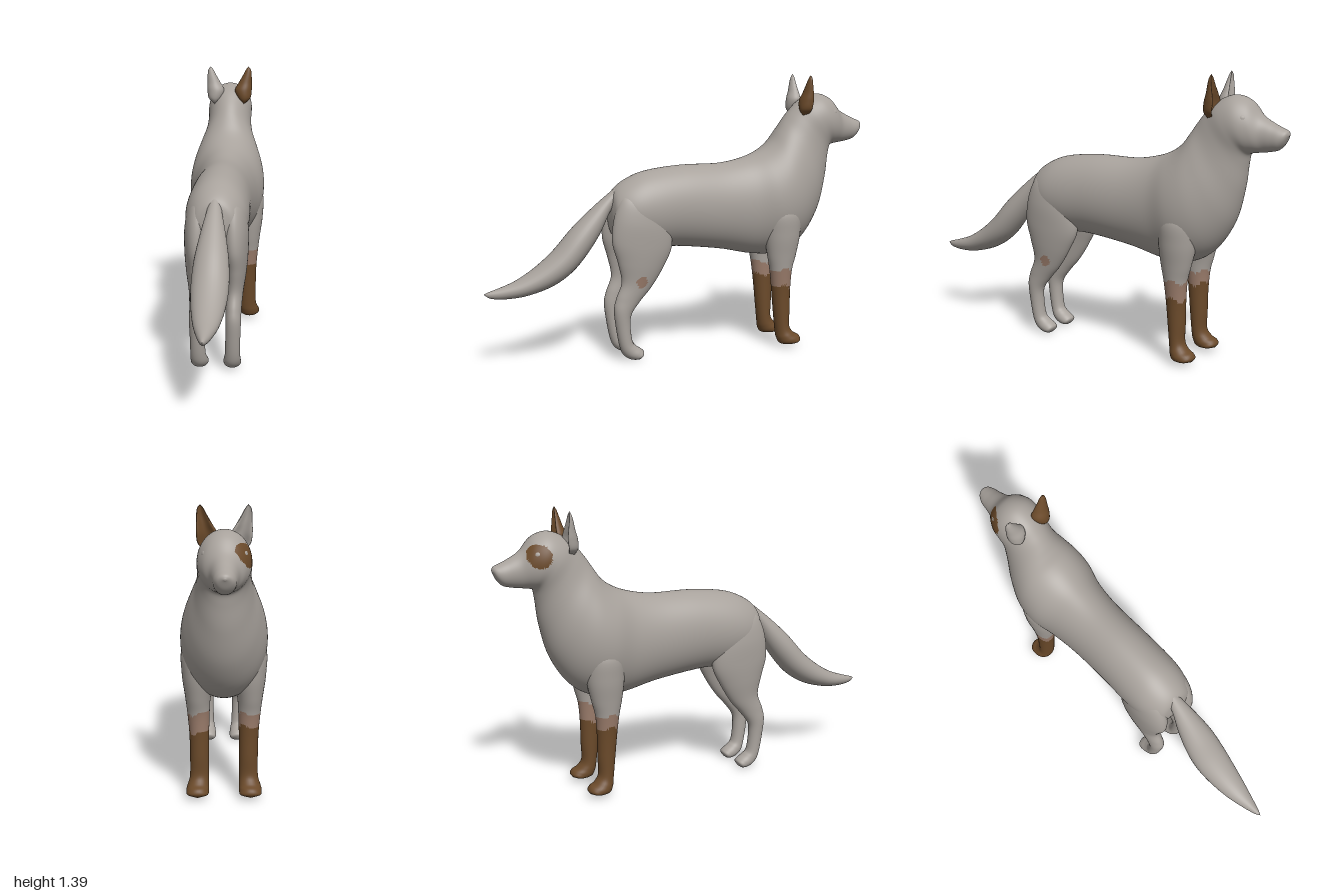
import * as THREE from 'three';

const mat = (name, color) => {
  const m = new THREE.MeshStandardMaterial({ color });
  m.name = name;
  return m;
};

// Smooth closed loft. Each row is one cross-section: [z1, y1, z2, y2, centreX, halfWidth],
// an ellipse spanned between two outline points in the side plane.
// paint(centroid) picks the material index of each face; dent hollows the first side.
function loft(name, rows, mats, { sx = 1, seg = 32, sub = 6, dent = 0, paint = () => 0 } = {}) {
  const curve = (f) => new THREE.CatmullRomCurve3(rows.map(f), false, 'catmullrom', 0.5);
  const first = curve((r) => new THREE.Vector3(0, r[1], r[0]));
  const second = curve((r) => new THREE.Vector3(0, r[3], r[2]));
  const width = curve((r) => new THREE.Vector3(r[4], r[5], 0));
  const n = (rows.length - 1) * sub;
  const pts = [];
  for (let i = 0; i <= n; i++) {
    const a = first.getPoint(i / n), b = second.getPoint(i / n), w = width.getPoint(i / n);
    const mid = a.clone().add(b).multiplyScalar(0.5);
    const half = a.clone().sub(b).multiplyScalar(0.5);
    for (let j = 0; j < seg; j++) {
      const t = (j / seg) * Math.PI * 2;
      let c = Math.cos(t);
      if (c > 0) c *= 1 - dent * c * c;
      const p = mid.clone().addScaledVector(half, c);
      p.x = sx * (w.x + Math.max(w.y, 0) * Math.sin(t));
      pts.push(p);
    }
  }
  const tris = [];
  for (let i = 0; i < n; i++) {
    for (let j = 0; j < seg; j++) {
      const k = (j + 1) % seg;
      const a = i * seg + j, b = i * seg + k, c = a + seg, d = b + seg;
      tris.push([a, b, d], [a, d, c]);
    }
  }
  // Turn all faces outward, using the signed volume
  const cross = new THREE.Vector3();
  const volume = tris.reduce((s, [a, b, c]) => s + pts[a].dot(cross.crossVectors(pts[b], pts[c])), 0);
  if (volume < 0) tris.forEach((t) => t.reverse());
  // Sort the faces by colour
  const bins = mats.map(() => []);
  for (const t of tris) {
    const centre = new THREE.Vector3();
    t.forEach((v) => centre.addScaledVector(pts[v], 1 / 3));
    bins[paint(centre)].push(...t);
  }
  const geo = new THREE.BufferGeometry().setFromPoints(pts);
  geo.setIndex(bins.flat());
  let start = 0;
  bins.forEach((bin, i) => {
    if (bin.length) geo.addGroup(start, bin.length, i);
    start += bin.length;
  });
  geo.computeVertexNormals();
  const mesh = new THREE.Mesh(geo, mats);
  mesh.name = name;
  return mesh;
}

export function createModel() {
  const grey = mat('grey fur', 0xa8a29c);
  const brown = mat('brown fur', 0x6b4a2a);
  const pale = mat('pale brown fur', 0x9a7c6b);
  const coat = [grey, brown, pale];
  const model = new THREE.Group();
  model.name = 'canine';

  // Torso, neck, head and snout, with a brown patch round one eye
  const torso = [
    [0.375, 0.73, 0.375, 0.71, 0, 0],
    [0.37, 0.79, 0.37, 0.66, 0, 0.06],
    [0.35, 0.85, 0.35, 0.61, 0, 0.105],
    [0.28, 0.9, 0.27, 0.57, 0, 0.143],
    [0.18, 0.935, 0.17, 0.55, 0, 0.155],
    [0, 0.955, 0.03, 0.548, 0, 0.153],
    [-0.2, 0.957, -0.2, 0.52, 0, 0.153],
    [-0.33, 0.98, -0.38, 0.483, 0, 0.168],
    [-0.42, 1.015, -0.52, 0.483, 0, 0.197],
    [-0.48, 1.06, -0.64, 0.55, 0, 0.193],
    [-0.52, 1.115, -0.735, 0.69, 0, 0.162],
    [-0.55, 1.16, -0.782, 0.85, 0, 0.13],
    [-0.59, 1.21, -0.798, 0.97, 0, 0.117],
    [-0.65, 1.265, -0.808, 1.025, 0, 0.119],
    [-0.73, 1.297, -0.83, 1.036, 0, 0.115],
    [-0.805, 1.277, -0.855, 1.04, 0, 0.094],
    [-0.865, 1.215, -0.885, 1.044, 0, 0.066],
    [-0.92, 1.182, -0.92, 1.05, 0, 0.054],
    [-0.965, 1.162, -0.953, 1.06, 0, 0.047],
    [-0.992, 1.15, -0.978, 1.085, 0, 0.034],
    [-1.0, 1.135, -0.995, 1.12, 0, 0.01],
    [-1.0, 1.128, -0.999, 1.125, 0, 0],
  ];
  const eyePatch = (p) => (p.x < 0 && Math.hypot(p.z + 0.8, p.y - 1.195) < 0.053 ? 1 : 0);
  model.add(loft('body and head', torso, coat, { seg: 96, paint: eyePatch }));

  // Tail
  const tail = [
    [0.26, 0.88, 0.27, 0.8, 0, 0],
    [0.31, 0.878, 0.32, 0.78, 0, 0.025],
    [0.39, 0.82, 0.37, 0.745, 0, 0.04],
    [0.48, 0.745, 0.43, 0.63, 0, 0.064],
    [0.57, 0.66, 0.5, 0.53, 0, 0.082],
    [0.66, 0.56, 0.575, 0.45, 0, 0.087],
    [0.75, 0.485, 0.67, 0.39, 0, 0.078],
    [0.84, 0.43, 0.79, 0.353, 0, 0.059],
    [0.92, 0.4, 0.89, 0.343, 0, 0.035],
    [0.98, 0.382, 0.965, 0.35, 0, 0.014],
    [1.0, 0.373, 0.999, 0.37, 0, 0],
  ];
  model.add(loft('tail', tail, coat));

  const frontLeg = [
    [-0.55, 0.8, -0.46, 0.8, 0.1, 0],
    [-0.6, 0.72, -0.41, 0.72, 0.11, 0.08],
    [-0.6, 0.6, -0.41, 0.6, 0.115, 0.079],
    [-0.578, 0.49, -0.425, 0.49, 0.12, 0.06],
    [-0.558, 0.41, -0.44, 0.41, 0.118, 0.052],
    [-0.551, 0.31, -0.452, 0.31, 0.115, 0.046],
    [-0.55, 0.2, -0.463, 0.2, 0.114, 0.044],
    [-0.548, 0.115, -0.475, 0.09, 0.115, 0.044],
    [-0.57, 0.078, -0.482, 0.05, 0.12, 0.05],
    [-0.597, 0.062, -0.5, 0.022, 0.123, 0.053],
    [-0.607, 0.042, -0.55, 0.017, 0.123, 0.045],
    [-0.596, 0.024, -0.592, 0.021, 0.123, 0],
  ];
  const hindLeg = [
    [0.19, 0.85, 0.3, 0.85, 0.08, 0],
    [0.12, 0.79, 0.345, 0.8, 0.083, 0.05],
    [0.09, 0.68, 0.378, 0.71, 0.086, 0.068],
    [0.085, 0.565, 0.388, 0.6, 0.09, 0.064],
    [0.13, 0.465, 0.362, 0.5, 0.093, 0.053],
    [0.19, 0.37, 0.343, 0.4, 0.09, 0.042],
    [0.25, 0.3, 0.37, 0.32, 0.088, 0.038],
    [0.293, 0.24, 0.382, 0.26, 0.088, 0.037],
    [0.3, 0.18, 0.372, 0.17, 0.086, 0.036],
    [0.29, 0.1, 0.355, 0.08, 0.084, 0.037],
    [0.27, 0.075, 0.335, 0.033, 0.081, 0.041],
    [0.243, 0.056, 0.3, 0.008, 0.08, 0.043],
    [0.23, 0.04, 0.262, 0.003, 0.08, 0.036],
    [0.238, 0.017, 0.242, 0.013, 0.08, 0],
  ];
  // Hollow ears, opening toward the snout
  const ear = [
    [-0.67, 1.19, -0.63, 1.19, 0.08, 0],
    [-0.69, 1.22, -0.612, 1.22, 0.08, 0.034],
    [-0.7, 1.265, -0.613, 1.265, 0.076, 0.046],
    [-0.69, 1.305, -0.627, 1.305, 0.086, 0.036],
    [-0.678, 1.345, -0.638, 1.345, 0.097, 0.024],
    [-0.67, 1.375, -0.647, 1.375, 0.103, 0.014],
    [-0.66, 1.393, -0.656, 1.393, 0.104, 0],
  ];

  for (const sx of [1, -1]) {
    // Front legs: brown stockings under a paler band
    const edge = sx > 0 ? 0.325 : 0.35;
    const stocking = (p) => {
      const wave = 0.012 * Math.sin(60 * p.z + 40 * p.x);
      return p.y < edge + wave ? 1 : p.y < 0.415 + wave ? 2 : 0;
    };
    model.add(loft('frontLeg', frontLeg, coat, { sx, paint: stocking }));

    // Hind legs, one with a small pale spot outside
    const spot = (p) => (p.x > 0.1 && Math.hypot(p.z - 0.252, p.y - 0.402) < 0.028 ? 2 : 0);
    model.add(loft('hindLeg', hindLeg, coat, { sx, seg: 48, sub: 8, paint: spot }));

    // One brown ear, one grey
    model.add(loft('ear', ear, coat, { sx, dent: 1.15, paint: () => (sx > 0 ? 1 : 0) }));

    // Eyes
    const eye = new THREE.Mesh(new THREE.SphereGeometry(1, 20, 14), grey);
    eye.name = 'eye';
    eye.scale.set(0.018, 0.02, 0.025);
    eye.position.set(sx * 0.08, 1.2, -0.8);
    eye.rotation.y = sx * 0.3;
    model.add(eye);
  }
  return model;
}
